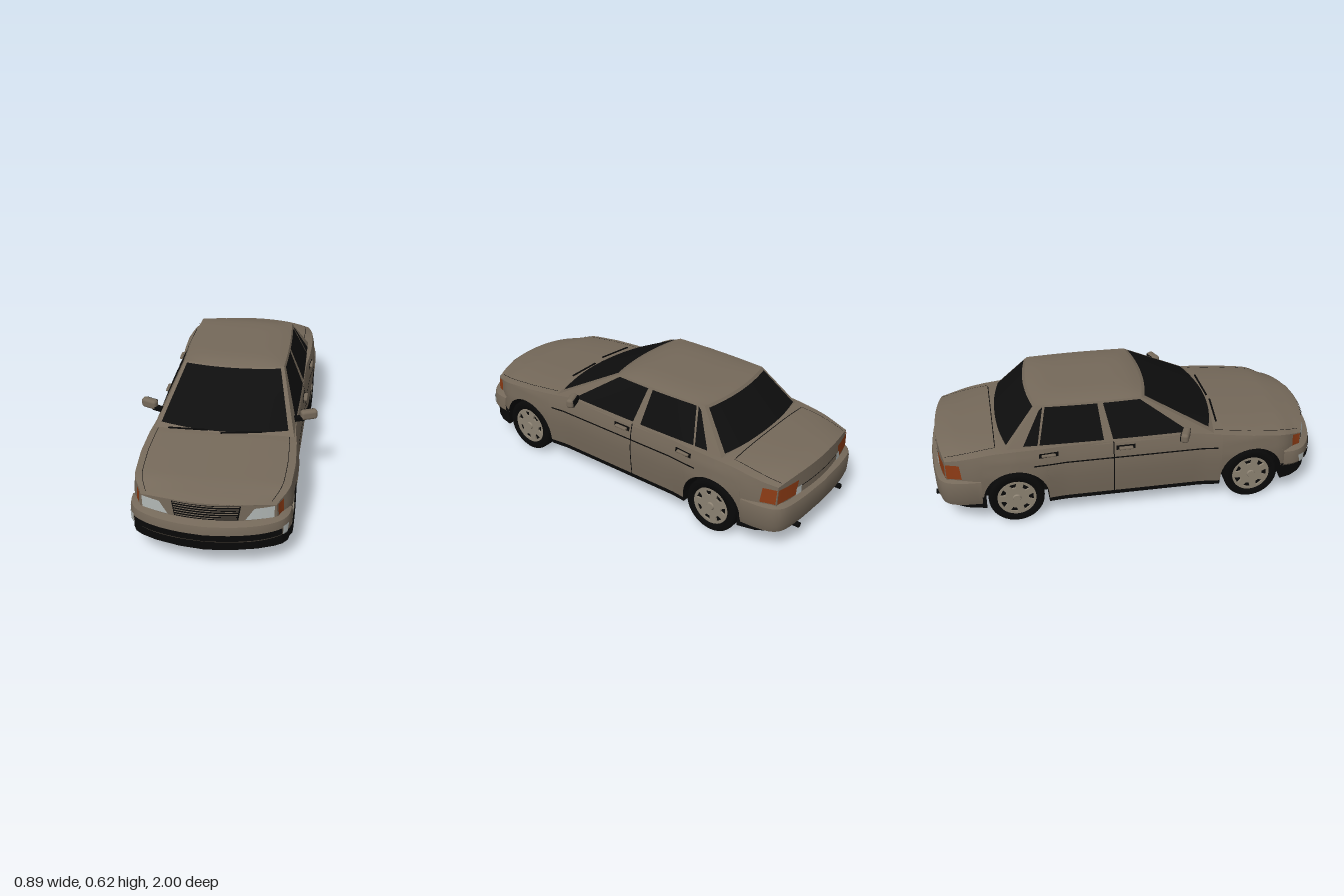
import * as THREE from 'three';
import { toCreasedNormals } from 'three/addons/utils/BufferGeometryUtils.js';
import { RoundedBoxGeometry } from 'three/addons/geometries/RoundedBoxGeometry.js';

const mat = (name, color) => new THREE.MeshStandardMaterial({ name, color, side: THREE.DoubleSide });
const lerp = THREE.MathUtils.lerp;
const smooth = THREE.MathUtils.smoothstep;

// value from a table of [position, value] pairs
function table(rows, s) {
  if (s <= rows[0][0]) return rows[0][1];
  for (let i = 1; i < rows.length; i++) {
    const [a, va] = rows[i - 1], [b, vb] = rows[i];
    if (s <= b) return lerp(va, vb, (s - a) / (b - a));
  }
  return rows[rows.length - 1][1];
}

// body measurements along the length
const WHEELS = [-0.593, 0.614], ARCH = 0.163, AXLE = 0.14, REAR = -0.97, NOSE = 0.95;
const width = s => table([[-0.97, 0.325], [-0.9, 0.345], [-0.8, 0.362], [-0.6, 0.38], [-0.45, 0.376], [-0.35, 0.366],
  [0.35, 0.366], [0.45, 0.378], [0.6, 0.383], [0.75, 0.372], [0.87, 0.347], [0.95, 0.315]], s);
const shoulder = s => table([[-0.97, 0.365], [-0.7, 0.403], [-0.6, 0.41], [0.3, 0.41], [0.45, 0.395], [0.6, 0.378], [0.85, 0.347], [0.95, 0.33]], s);
const crown = s => table([[-0.97, 0.388], [-0.9, 0.405], [-0.67, 0.424], [0.46, 0.415], [0.8, 0.383], [0.92, 0.362], [0.95, 0.353]], s);
const sideX = (s, y) => width(s) * table([[0.09, 0.96], [0.2, 0.99], [0.28, 1], [0.36, 0.98], [0.43, 0.93]], y);
const inArch = s => WHEELS.some(c => Math.abs(s - c) <= ARCH + 1e-6);
function bottom(s) {
  for (const c of WHEELS) {
    const d = Math.abs(s - c);
    if (d <= ARCH + 1e-6) return AXLE + Math.sqrt(Math.max(0, ARCH * ARCH - d * d));
  }
  return s > 0.7 ? 0.175 : s < -0.7 ? 0.14 : 0.118;
}
// bows the nose and tail in plan
const warp = (x, y, s) => [x, y, s - 0.7 * x * x * smooth(s, 0.76, 0.95) + 0.4 * x * x * smooth(-s, 0.75, 0.97)];

// half section of the painted shell, m = 0 at the lower edge, M at the centre line
const M = 14;
function section(s, m) {
  const h = shoulder(s), k = M / 2;
  if (m <= k) { const y = lerp(bottom(s), h, m / k); return [sideX(s, y), y]; }
  const q = 1 - (m - k) / k;
  return [sideX(s, h) * q, lerp(h, crown(s), 1 - q ** 3)];
}

function stations() {
  const list = [];
  for (let i = 0; i <= 60; i++) { const s = lerp(REAR, NOSE, i / 60); if (!inArch(s)) list.push(s); }
  for (const c of WHEELS) {
    list.push(c - ARCH - 0.001, c + ARCH + 0.001);
    for (let i = 0; i <= 20; i++) list.push(c - ARCH * Math.cos(Math.PI * i / 20));
  }
  return list.sort((a, b) => a - b);
}

// surface sampled on a regular grid
function grid(fn, nu, nv, crease = 0.6) {
  const pos = [], idx = [];
  for (let i = 0; i <= nv; i++) for (let j = 0; j <= nu; j++) {
    pos.push(...fn(j / nu, i / nv));
    if (i < nv && j < nu) {
      const a = i * (nu + 1) + j, b = a + nu + 1;
      idx.push(a, a + 1, b, a + 1, b + 1, b);
    }
  }
  const g = new THREE.BufferGeometry();
  g.setAttribute('position', new THREE.Float32BufferAttribute(pos, 3));
  g.setIndex(idx);
  return toCreasedNormals(g, crease);
}

// thin plate laid over part of a surface, given by four corners in its own coordinates
function plate(fn, [a, b, c, d], lift = 0.004, n = 12) {
  return grid((u, v) => {
    const q = [0, 1].map(i => lerp(lerp(a[i], b[i], u), lerp(d[i], c[i], u), v));
    const at = (i, j) => new THREE.Vector3(...fn(q[0] + i, q[1] + j));
    const p = at(0, 0), e = 0.002;
    const nrm = at(e, 0).sub(at(-e, 0)).cross(at(0, e).sub(at(0, -e))).normalize();
    if (nrm.dot(new THREE.Vector3(p.x, p.y - 0.3, p.z * 0.4)) < 0) nrm.negate();
    return p.addScaledVector(nrm, lift).toArray();
  }, n, n);
}
const rect = (a0, b0, a1, b1) => [[a0, b0], [a1, b0], [a1, b1], [a0, b1]];

// named surfaces that plates are laid on
const bodySide = k => (s, y) => warp(k * sideX(s, y), y, s);
const face = end => (x, y) => warp(x, y, end);
const deck = (q, s) => { const h = shoulder(s); return warp(sideX(s, h) * q, lerp(h, crown(s), 1 - Math.abs(q) ** 3), s); };

// cabin: v = 0 at the belt, 1 at the roof
const cabY = v => lerp(0.4, 0.597, v);
const frontX = v => lerp(0.345, 0.256, v), frontZ = v => lerp(0.41, 0.055, v);
const rearX = v => lerp(0.338, 0.25, v), rearZ = v => lerp(-0.635, -0.465, v);
const screen = (u, v) => [u * frontX(v), cabY(v), frontZ(v) + lerp(0.065, 0.03, v) * (1 - u * u)];
const backlight = (u, v) => [u * rearX(v), cabY(v), rearZ(v) - lerp(0.045, 0.03, v) * (1 - u * u)];
const cabSide = k => (z, y) => {
  const v = (y - 0.4) / 0.197, t = (frontZ(v) - z) / (frontZ(v) - rearZ(v));
  return [k * (lerp(frontX(v), rearX(v), t) + 0.008 * Math.sin(Math.PI * t)), y, z];
};
const roof = (u, w) => {
  const q = 2 * u - 1, a = screen(q, 1), b = backlight(q, 1);
  const bulge = 0.008 * Math.sin(Math.PI * w) * q;
  return [lerp(a[0], b[0], w) + bulge, 0.597 + 0.018 * (1 - q ** 4) * (1 - (2 * w - 1) ** 6), lerp(a[2], b[2], w)];
};

// wrap-round bumper from a half plan path and a [inset, height] section
function bumper(path, rows) {
  const curve = new THREE.CatmullRomCurve3(path.map(([x, z]) => new THREE.Vector3(x, 0, z)));
  return (u, v) => {
    const t = 1 - Math.min(1, Math.abs(u)), p = curve.getPoint(t);
    const f = THREE.MathUtils.clamp(v, 0, 1) * (rows.length - 1), i = Math.min(rows.length - 2, Math.floor(f));
    const d = lerp(rows[i][0], rows[i + 1][0], f - i), y = lerp(rows[i][1], rows[i + 1][1], f - i);
    return [Math.sign(u) * p.x * (1 - 2 * d), y, p.z - Math.sign(p.z) * d * t];
  };
}
const frontPlan = [[0.377, 0.782], [0.371, 0.84], [0.35, 0.885], [0.315, 0.918], [0.24, 0.957], [0.12, 0.988], [0, 1]];
const rearPlan = [[0.374, -0.762], [0.367, -0.86], [0.347, -0.93], [0.31, -0.965], [0.2, -0.988], [0, -1]];

export function createModel() {
  const car = new THREE.Group();
  const paint = mat('bodyPaint', 0x75695a), glass = mat('darkGlass', 0x0e0e0e), black = mat('blackTrim', 0x080808);
  const lamp = mat('clearLamp', 0xb2b8b6), amber = mat('amberLamp', 0x8a3a14), alloy = mat('wheelAlloy', 0x8c8272);
  const add = (name, geo, m, parent = car) => {
    const mesh = new THREE.Mesh(geo, m); mesh.name = name; parent.add(mesh); return mesh;
  };

  // painted shell with open arches, nose and tail panels
  const S = stations();
  add('bodyShell', grid((u, v) => {
    const k = Math.round(u * 2 * M), s = S[Math.round(v * (S.length - 1))];
    const [x, y] = section(s, M - Math.abs(k - M));
    return warp(k > M ? x : -x, y, s);
  }, 2 * M, S.length - 1), paint);
  for (const [name, end] of [['nosePanel', NOSE], ['tailPanel', REAR]])
    add(name, grid((u, v) => { const [x, y] = section(end, Math.round(v * M)); return warp(x * (2 * u - 1), y, end); }, 24, M), paint);

  // cabin
  add('windscreenFrame', grid((u, v) => screen(2 * u - 1, v), 16, 4), paint);
  add('rearWindowFrame', grid((u, v) => backlight(2 * u - 1, v), 16, 4), paint);
  add('roof', grid(roof, 20, 16), paint);
  add('windscreen', plate(screen, rect(-0.93, 0.09, 0.93, 0.965)), glass);
  add('rearWindow', plate(backlight, rect(-0.93, 0.1, 0.93, 0.94)), glass);

  // bumpers
  const fb = bumper(frontPlan, [[0.05, 0.268], [0.006, 0.258], [0, 0.235], [0, 0.185], [0.012, 0.172]]);
  const rb = bumper(rearPlan, [[0.04, 0.27], [0.006, 0.258], [0, 0.235], [0.004, 0.16], [0.02, 0.122]]);
  add('frontBumper', grid((u, v) => fb(2 * u - 1, v), 48, 4), paint);
  add('rearBumper', grid((u, v) => rb(2 * u - 1, v), 48, 4), paint);
  add('lowerIntake', plate(fb, rect(-0.6, 0.58, 0.6, 0.74), 0.004, 24), black);

  // grille with bars
  add('grille', plate(face(NOSE), [[-0.145, 0.27], [0.145, 0.27], [0.157, 0.346], [-0.157, 0.346]], 0.004), black);
  for (let i = 0; i < 6; i++) {
    const y = 0.278 + i * 0.0125, w = 0.14 + i * 0.002;
    add('grilleBar', plate(face(NOSE), rect(-w, y, w, y + 0.005), 0.008), paint);
  }
  add('bootSeam', plate(face(REAR), rect(-0.17, 0.305, 0.17, 0.309), 0.003), black);
  add('bootFrontSeam', plate(deck, rect(-0.84, -0.683, 0.84, -0.679), 0.002), black);

  for (const k of [-1, 1]) {
    const name = k > 0 ? 'left' : 'right', side = bodySide(k), cab = cabSide(k);
    const on = (part, fn, quad, m, lift) => add(name + part, plate(fn, quad, lift), m);
    const flip = quad => quad.map(([x, y]) => [k * x, y]);
    // cabin side and its windows
    add(name + 'CabinSide', grid((u, v) => cab(lerp(frontZ(v), rearZ(v), u), cabY(v)), 16, 4), paint);
    on('FrontWindow', cab, [[0.285, 0.42], [-0.102, 0.42], [-0.14, 0.588], [0.045, 0.588]], glass);
    on('RearWindow', cab, [[-0.148, 0.42], [-0.465, 0.42], [-0.425, 0.588], [-0.168, 0.588]], glass);
    on('QuarterWindow', cab, [[-0.475, 0.42], [-0.545, 0.42], [-0.455, 0.575], [-0.437, 0.588]], glass);
    // seams and moulding
    on('SideMoulding', side, rect(0.43, 0.322, -0.5, 0.329), black);
    on('DoorSeam', side, rect(-0.098, 0.12, -0.103, 0.41), black, 0.003);
    on('BonnetSeam', deck, flip([[0.9, 0.42], [0.907, 0.42], [0.907, 0.93], [0.9, 0.93]]), black, 0.002);
    on('BootSeam', deck, flip([[0.86, -0.68], [0.867, -0.68], [0.907, -0.96], [0.9, -0.96]]), black, 0.002);
    // lamps
    on('Headlamp', face(NOSE), flip([[0.175, 0.27], [0.3, 0.27], [0.302, 0.33], [0.215, 0.328]]), lamp, 0.005);
    on('Indicator', side, [[0.945, 0.27], [0.895, 0.27], [0.89, 0.335], [0.945, 0.328]], amber);
    on('FogLamp', fb, flip([[0.62, 0.53], [0.76, 0.53], [0.72, 0.78], [0.62, 0.78]]), lamp);
    on('TailLamp', face(REAR), flip([[0.2, 0.275], [0.322, 0.275], [0.318, 0.35], [0.185, 0.35]]), amber);
    on('TailLampSide', side, [[-0.968, 0.275], [-0.885, 0.275], [-0.895, 0.35], [-0.968, 0.35]], amber);
    on('ReversingLamp', face(REAR), flip([[0.165, 0.275], [0.205, 0.275], [0.2, 0.315], [0.165, 0.315]]), lamp, 0.007);
    // door handles
    for (const z of [-0.04, -0.425]) {
      on('HandleRecess', side, rect(z - 0.048, 0.366, z + 0.048, 0.388), black, 0.003);
      add(name + 'DoorHandle', new RoundedBoxGeometry(0.02, 0.012, 0.07, 2, 0.004), paint).position.set(k * 0.366, 0.377, z);
    }
    // door mirror
    const mirror = new THREE.Group();
    mirror.name = name + 'Mirror';
    add('mirrorHousing', new RoundedBoxGeometry(0.085, 0.05, 0.04, 3, 0.015), paint, mirror);
    add('mirrorGlass', new THREE.BoxGeometry(0.068, 0.036, 0.006), glass, mirror).position.z = -0.019;
    add('mirrorArm', new THREE.BoxGeometry(0.05, 0.018, 0.03), black, mirror).position.set(-k * 0.05, -0.016, 0);
    mirror.position.set(k * 0.402, 0.442, 0.25);
    mirror.rotation.y = k * 0.4;
    car.add(mirror);
    // exhaust
    const pipe = add(name + 'Exhaust', new THREE.CylinderGeometry(0.014, 0.014, 0.12, 14), black);
    pipe.rotation.x = Math.PI / 2;
    pipe.position.set(k * 0.2, 0.113, -0.93);
    // wiper
    const wiper = add(name + 'Wiper', new THREE.BoxGeometry(0.2, 0.005, 0.008), black);
    wiper.position.set(k * 0.13 - 0.04, 0.427, 0.447);
    wiper.rotation.set(0, 0.08 * k, 0.06);
  }

  // underbody with wheel notches, and inner body
  const half = [...rearPlan].reverse().map(([x, z]) => [x * 0.96, z * 0.975]);
  for (const s of S) if (s > -0.757 && s < 0.778) half.push([inArch(s) ? 0.255 : width(s) * 0.955, s]);
  half.push(...frontPlan.map(([x, z]) => [x * 0.975, z * 0.988]));
  const outline = [...half, ...half.slice(1, -1).reverse().map(([x, z]) => [-x, z])].map(([x, z]) => new THREE.Vector2(x, -z));
  const under = new THREE.ExtrudeGeometry(new THREE.Shape(outline), { depth: 0.085, bevelEnabled: false });
  under.rotateX(-Math.PI / 2).translate(0, 0.093, 0);
  const up = under.attributes.position;
  for (let i = 0; i < up.count; i++) if (up.getY(i) < 0.1) up.setY(i, 0.093 + 0.035 * smooth(Math.abs(up.getZ(i)), 0.75, 0.97));
  under.computeVertexNormals();
  add('underbody', under, black);
  add('innerBody', new THREE.BoxGeometry(0.5, 0.2, 1.6), black).position.y = 0.23;

  // wheels and arch liners
  const tyre = new THREE.LatheGeometry([[0.095, -0.045], [0.128, -0.05], [0.138, -0.042], [0.14, -0.03], [0.14, 0.03],
    [0.138, 0.042], [0.128, 0.05], [0.1, 0.046], [0.095, 0.03]].map(p => new THREE.Vector2(...p)), 40);
  const disc = new THREE.Shape().absarc(0, 0, 0.097, 0, Math.PI * 2);
  for (let i = 0; i < 7; i++) {
    const a = i * Math.PI * 2 / 7, corner = (r, d) => new THREE.Vector2(r * Math.cos(a + d), r * Math.sin(a + d));
    disc.holes.push(new THREE.Path([corner(0.086, -0.24), corner(0.086, 0.24), corner(0.06, 0.16), corner(0.06, -0.16)]));
  }
  const rim = new THREE.ExtrudeGeometry(disc, { depth: 0.01, bevelEnabled: false, curveSegments: 20 });
  const liner = new THREE.CylinderGeometry(ARCH - 0.001, ARCH - 0.001, 0.125, 28, 1, true, 0, Math.PI);
  for (const z of WHEELS) for (const k of [-1, 1]) {
    const wheel = new THREE.Group();
    wheel.name = (z > 0 ? 'front' : 'rear') + (k > 0 ? 'Left' : 'Right') + 'Wheel';
    add('tyre', tyre, black, wheel).rotation.z = -Math.PI / 2;
    add('rim', rim, alloy, wheel).rotation.y = Math.PI / 2;
    wheel.children[1].position.x = 0.034;
    const back = add('wheelBack', new THREE.CylinderGeometry(0.098, 0.098, 0.06, 28), black, wheel);
    back.rotation.z = Math.PI / 2;
    const hub = add('hubCap', new THREE.CylinderGeometry(0.018, 0.022, 0.008, 20), alloy, wheel);
    hub.rotation.z = -Math.PI / 2;
    hub.position.x = 0.047;
    wheel.position.set(k * 0.32, AXLE, z);
    wheel.rotation.y = k > 0 ? 0 : Math.PI;
    car.add(wheel);
    const arch = add('archLiner', liner, black);
    arch.rotation.z = Math.PI / 2;
    arch.position.set(k * 0.305, AXLE, z);
  }
  return car;
}
